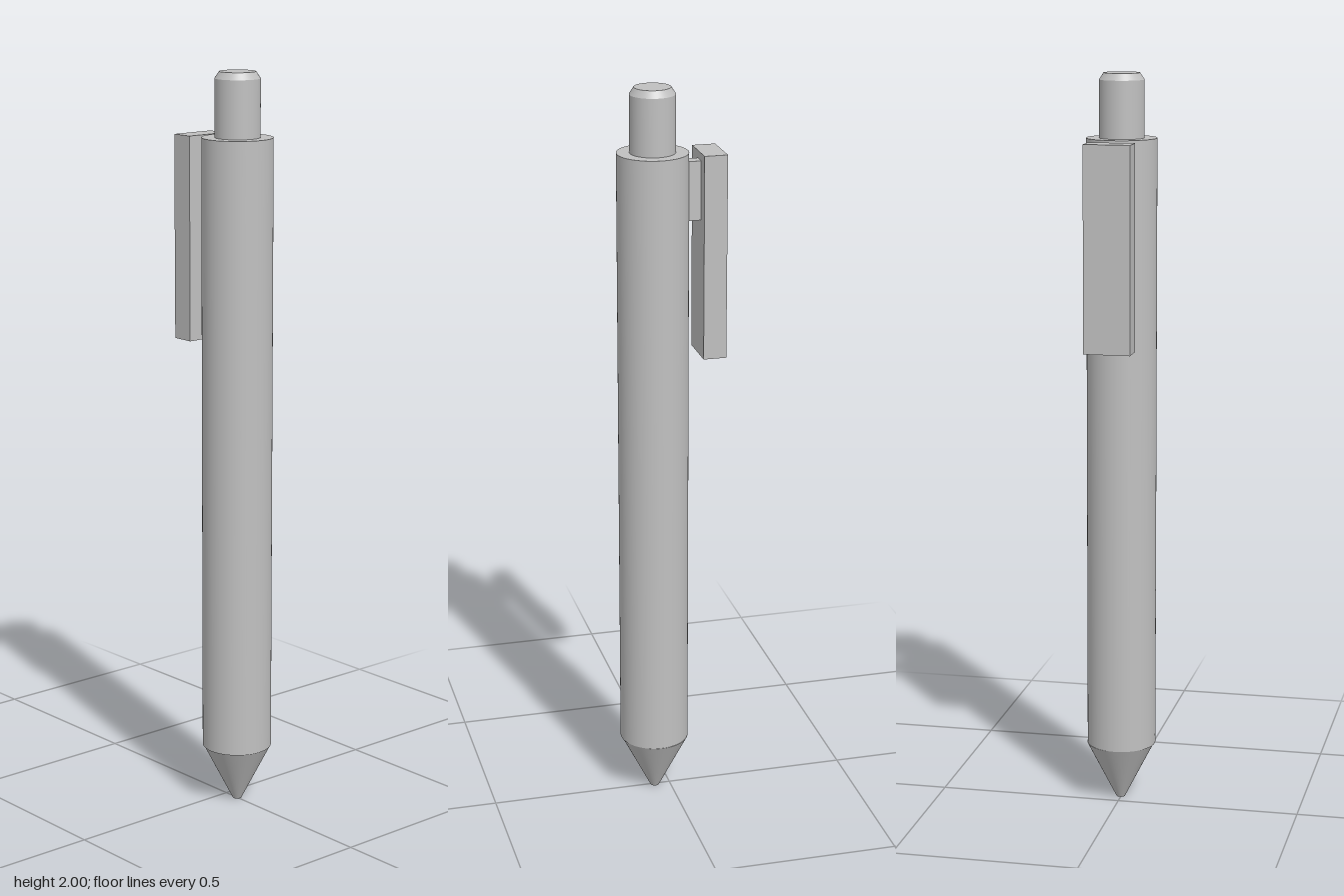
import * as THREE from 'three';

export function createModel() {
  const group = new THREE.Group();
  const grey = new THREE.MeshStandardMaterial({ color: 0xc0c0c0 });
  grey.name = 'light grey';
  const axisX = 0.044;

  const add = (name, geometry, x, y, z) => {
    const mesh = new THREE.Mesh(geometry, grey);
    mesh.name = name;
    mesh.position.set(x, y, z);
    group.add(mesh);
  };
  // Round part standing between two heights
  const round = (name, rTop, rBottom, y0, y1, x = axisX, z = 0) =>
    add(name, new THREE.CylinderGeometry(rTop, rBottom, y1 - y0, 64), x, (y0 + y1) / 2, z);
  // Block given by its limits on each axis
  const block = (name, [x0, x1], [y0, y1], [z0, z1]) =>
    add(name, new THREE.BoxGeometry(x1 - x0, y1 - y0, z1 - z0),
      (x0 + x1) / 2, (y0 + y1) / 2, (z0 + z1) / 2);

  // Writing end and barrel
  round('tip', 0.093, 0.012, 0, 0.16, axisX - 0.001, -0.002);
  round('barrel', 0.094, 0.094, 0.16, 1.83);

  // Push button with a chamfered top
  round('button', 0.06, 0.06, 1.82, 1.982);
  round('buttonChamfer', 0.048, 0.06, 1.982, 2);

  // Pocket clip and the bridge joining it to the barrel
  block('clip', [-0.139, -0.077], [1.28, 1.827], [-0.064, 0.061]);
  block('clipBridge', [-0.078, -0.04], [1.65, 1.807], [-0.03, 0.004]);

  return group;
}
